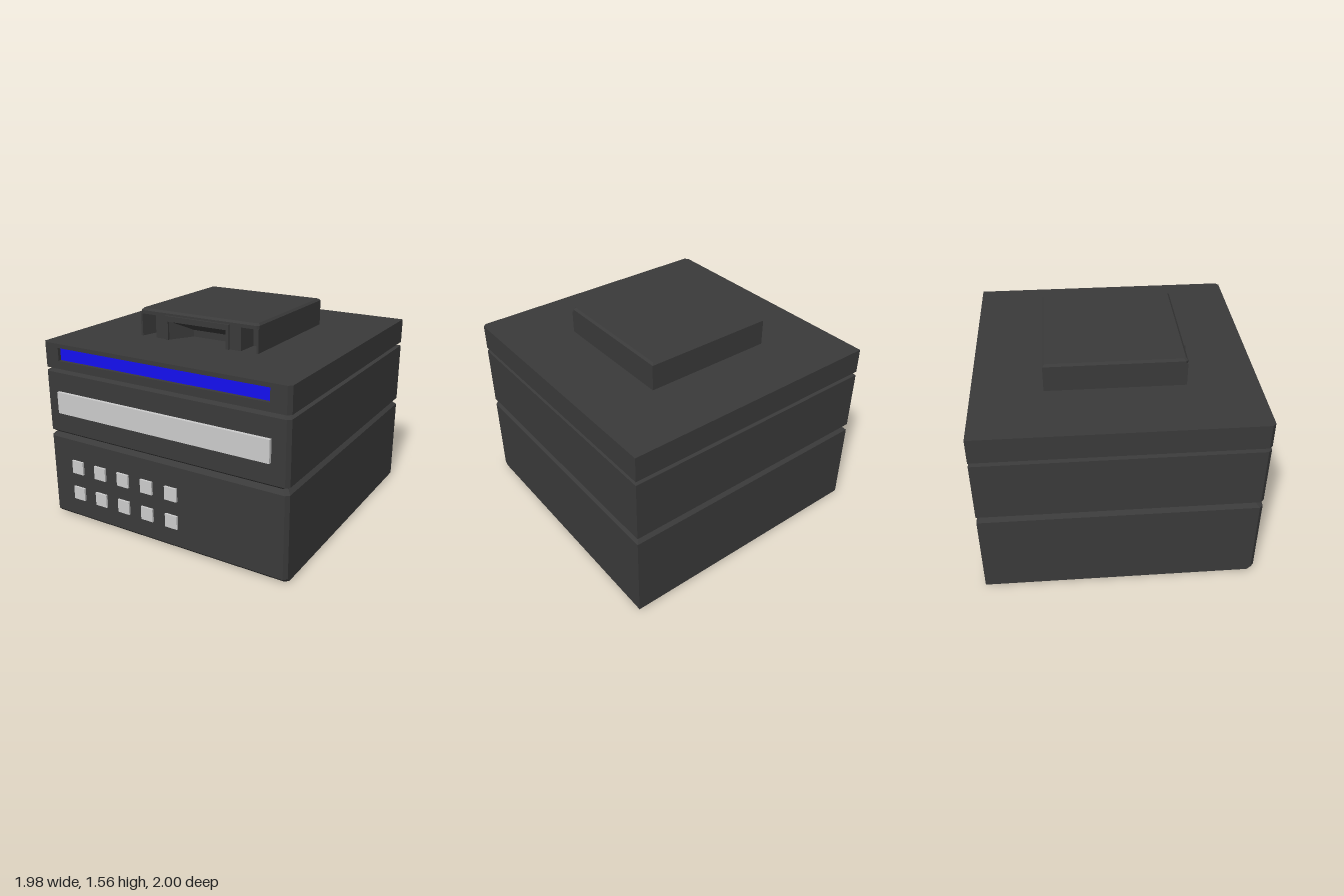
import * as THREE from 'three';

const dark = new THREE.MeshStandardMaterial({ color: 0x3a3a3a, flatShading: true });
const darkThin = new THREE.MeshStandardMaterial({ color: 0x3a3a3a, flatShading: true, side: THREE.DoubleSide });
const grey = new THREE.MeshStandardMaterial({ color: 0xcccccc });
const blue = new THREE.MeshStandardMaterial({ color: 0x1410f0 });

function add(group, name, geometry, material) {
  const mesh = new THREE.Mesh(geometry, material);
  mesh.name = name;
  group.add(mesh);
  return mesh;
}

// Box given by its minimum and maximum corners
function block(x0, x1, y0, y1, z0, z1) {
  return new THREE.BoxGeometry(x1 - x0, y1 - y0, z1 - z0)
    .translate((x0 + x1) / 2, (y0 + y1) / 2, (z0 + z1) / 2);
}

// Plan outline with chamfered front corners, as [x, z]
function outline(half, back, front, c) {
  return [[-half, back], [-half, front - c], [-half + c, front],
    [half - c, front], [half, front - c], [half, back]];
}

function triangles(points, index) {
  const g = new THREE.BufferGeometry();
  g.setAttribute('position', new THREE.Float32BufferAttribute(points.flat(), 3));
  g.setIndex(index);
  const flat = g.toNonIndexed();
  flat.computeVertexNormals();
  return flat;
}

// Closed solid through horizontal rings: [y, outline]
function loft(rings) {
  const n = rings[0][1].length, points = [], index = [];
  for (const [y, ring] of rings) for (const [x, z] of ring) points.push([x, y, z]);
  for (let r = 0; r < rings.length - 1; r++) {
    for (let i = 0; i < n; i++) {
      const a = r * n + i, b = r * n + (i + 1) % n;
      index.push(a, b, b + n, a, b + n, a + n);
    }
  }
  const top = (rings.length - 1) * n;
  for (let i = 1; i < n - 1; i++) {
    index.push(0, i + 1, i, top, top + i, top + i + 1);
  }
  return triangles(points, index);
}

// Sloping walls of a pocket open to the front and below: [x0, x1, top]
function pocket(front, back, zFront, zBack, floor) {
  const arch = ([x0, x1, t], z) => [[x0, floor, z], [x0, t, z], [x1, t, z], [x1, floor, z]];
  const index = [];
  for (let i = 0; i < 3; i++) index.push(i, i + 1, i + 5, i, i + 5, i + 4);
  index.push(4, 5, 6, 4, 6, 7);
  return triangles([...arch(front, zFront), ...arch(back, zBack)], index);
}

export function createModel() {
  const model = new THREE.Group();
  const plan = (inset, frontInset = inset) =>
    outline(0.99 - inset, -1 + inset, 0.975 - frontInset, 0.025);

  // Two stacked housings with a groove above each
  add(model, 'lowerHousing', loft([
    [0.01, plan(0, 0.025)], [0.035, plan(0)], [0.637, plan(0)], [0.667, plan(0.03)],
  ]), dark);
  add(model, 'upperHousing', loft([
    [0.667, plan(0.03)], [0.69, plan(0)], [1.14, plan(0)], [1.163, plan(0.1)], [1.172, plan(0.1)],
  ]), dark);
  add(model, 'basePlate', block(-0.49, 0.49, 0, 0.02, -0.5, 0.475), dark);

  // Top slab in three layers, the middle one notched for the display
  const slab = new THREE.Group();
  slab.name = 'topSlab';
  model.add(slab);
  add(slab, 'slabBottom', loft([[1.17, plan(0)], [1.23, plan(0)]]), dark);
  add(slab, 'slabTop', loft([[1.325, plan(0)], [1.355, plan(0)]]), dark);
  const notch = [[-0.85, 0.975], [-0.85, 0.94], [0.85, 0.94], [0.85, 0.975]];
  const ring = plan(0);
  ring.splice(3, 0, ...notch);
  const middle = new THREE.Shape(ring.map(([x, z]) => new THREE.Vector2(x, -z)));
  add(slab, 'slabMiddle',
    new THREE.ExtrudeGeometry(middle, { depth: 0.095, bevelEnabled: false })
      .rotateX(-Math.PI / 2).translate(0, 1.23, 0), dark);
  add(slab, 'blueDisplay', block(-0.85, 0.85, 1.23, 1.325, 0.93, 0.95), blue);

  // Front panel and two rows of buttons
  add(model, 'frontPanel', block(-0.865, 0.865, 0.84, 1, 0.96, 1), grey);
  for (const y of [0.22, 0.43]) {
    for (let i = 0; i < 5; i++) {
      const x = -0.732 + i * 0.208;
      add(model, 'button', block(x - 0.05, x + 0.05, y - 0.05, y + 0.05, 0.96, 0.99), grey);
    }
  }

  // Cap on top: bevelled lid, solid rear, and a front with three pockets
  const cap = new THREE.Group();
  cap.name = 'cap';
  model.add(cap);
  const floor = 1.355, zBack = 0.3, zFront = 0.475;
  const lid = (inset) => outline(0.49 - inset, -0.505 + inset, zFront - inset, 0.015);
  add(cap, 'capLid', loft([[1.525, lid(0)], [1.545, lid(0)], [1.56, lid(0.015)]]), dark);
  add(cap, 'capRear', block(-0.49, 0.49, floor, 1.525, -0.505, zBack), dark);

  const openings = [
    { front: [-0.475, -0.355, 1.52], back: [-0.43, -0.36, 1.48] },
    { front: [-0.24, 0.24, 1.49], back: [-0.14, 0.14, 1.405] },
    { front: [0.355, 0.475, 1.52], back: [0.36, 0.43, 1.48] },
  ];
  const face = new THREE.Shape();
  face.moveTo(-0.49, floor);
  for (const { front: [x0, x1, t] } of openings) {
    face.lineTo(x0, floor).lineTo(x0, t).lineTo(x1, t).lineTo(x1, floor);
  }
  face.lineTo(0.49, floor).lineTo(0.49, 1.525).lineTo(-0.49, 1.525);
  add(cap, 'capFront',
    new THREE.ExtrudeGeometry(face, { depth: zFront - zBack, bevelEnabled: false })
      .translate(0, 0, zBack), dark);
  for (const { front, back } of openings) {
    add(cap, 'pocket', pocket(front, back, zFront, zBack + 0.01, floor), darkThin);
  }

  // Raised frame round the middle pocket
  const frame = new THREE.Shape();
  frame.moveTo(-0.265, floor).lineTo(-0.24, floor).lineTo(-0.24, 1.49).lineTo(0.24, 1.49)
    .lineTo(0.24, floor).lineTo(0.265, floor).lineTo(0.265, 1.53).lineTo(-0.265, 1.53);
  add(cap, 'pocketFrame',
    new THREE.ExtrudeGeometry(frame, { depth: 0.015, bevelEnabled: false })
      .translate(0, 0, zFront), dark);

  return model;
}
